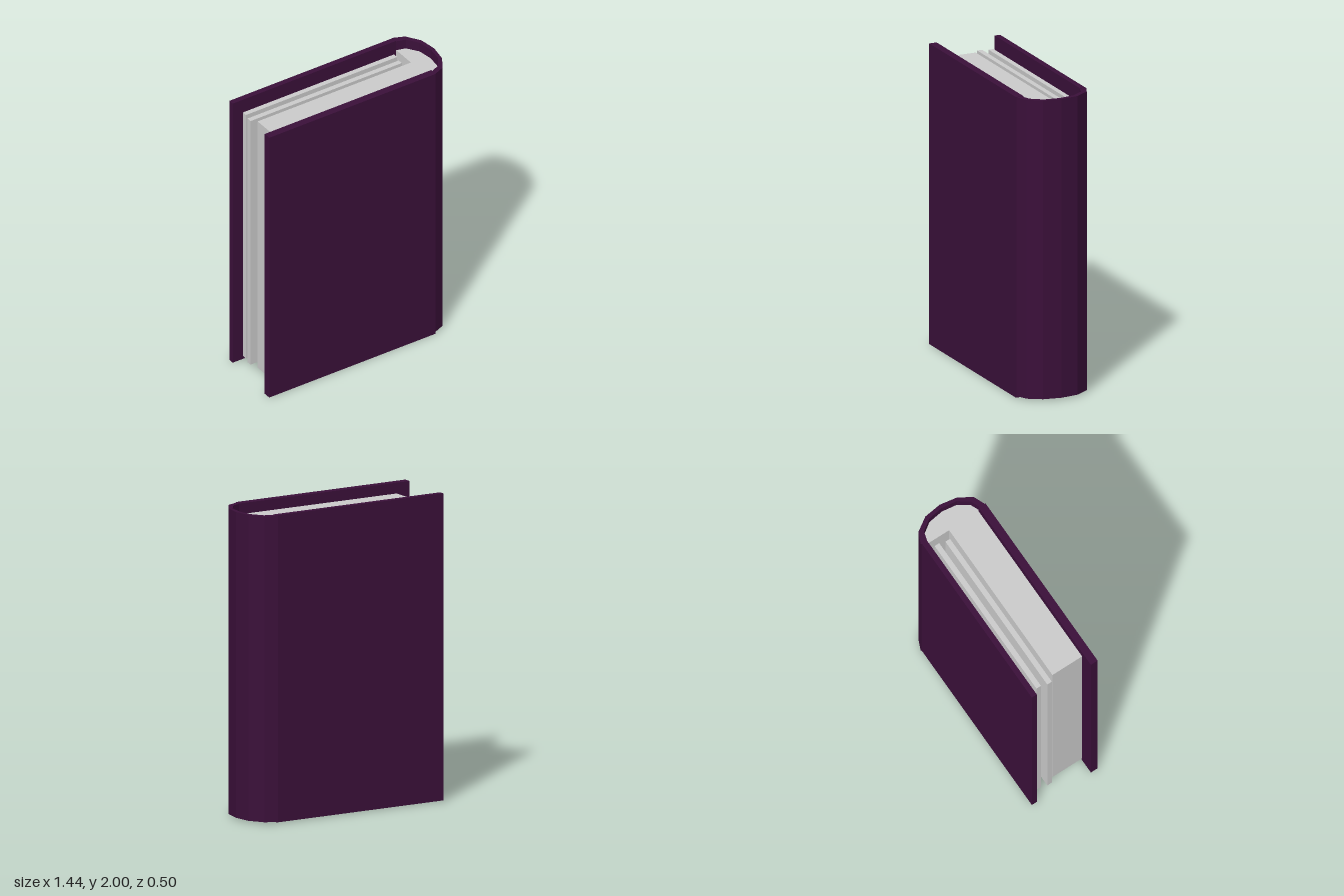
import * as THREE from 'three';

const coverMat = new THREE.MeshStandardMaterial({ color: 0x3b103a, flatShading: true });
const pageMat = new THREE.MeshStandardMaterial({ color: 0xcccccc, flatShading: true });

// Box given by its limits on each axis
function slab(name, mat, [x0, x1], [y0, y1], [z0, z1]) {
  const mesh = new THREE.Mesh(new THREE.BoxGeometry(x1 - x0, y1 - y0, z1 - z0), mat);
  mesh.position.set((x0 + x1) / 2, (y0 + y1) / 2, (z0 + z1) / 2);
  mesh.name = name;
  return mesh;
}

// Upright prism from an outline of [x, z] points
function prism(name, mat, outline, y0, y1) {
  const shape = new THREE.Shape(outline.map(([x, z]) => new THREE.Vector2(x, -z)));
  const geo = new THREE.ExtrudeGeometry(shape, { depth: y1 - y0, bevelEnabled: false });
  geo.rotateX(-Math.PI / 2).translate(0, y0, 0);
  const mesh = new THREE.Mesh(geo, mat);
  mesh.name = name;
  return mesh;
}

export function createModel() {
  const book = new THREE.Group();
  book.name = 'book';

  // Hard covers, slightly offset from each other
  book.add(slab('frontCover', coverMat, [-0.72, 0.56], [0, 2], [0.195, 0.247]));
  book.add(slab('backCover', coverMat, [-0.695, 0.562], [0.005, 2], [-0.24, -0.202]));

  // Rounded spine shell made of six flat facets
  const outer = [[0.56, -0.248], [0.638, -0.215], [0.7, -0.12], [0.716, 0], [0.695, 0.12], [0.638, 0.21], [0.558, 0.243]];
  const inner = [[0.56, -0.2], [0.622, -0.182], [0.675, -0.105], [0.69, 0], [0.675, 0.105], [0.622, 0.178], [0.558, 0.205]];
  book.add(prism('spine', coverMat, [...outer, ...inner.slice().reverse()], 0.01, 1.997));

  // Bound edge of the pages, filling the spine
  book.add(prism('pageBinding', pageMat, inner, 0.035, 1.93));

  // Main page block and two loose bundles
  book.add(slab('pageBlock', pageMat, [-0.62, 0.568], [0.035, 1.93], [-0.032, 0.197]));
  book.add(slab('loosePagesInner', pageMat, [-0.655, 0.508], [0.055, 1.93], [-0.095, -0.06]));
  book.add(slab('loosePagesOuter', pageMat, [-0.64, 0.522], [0.055, 1.93], [-0.168, -0.133]));

  return book;
}
